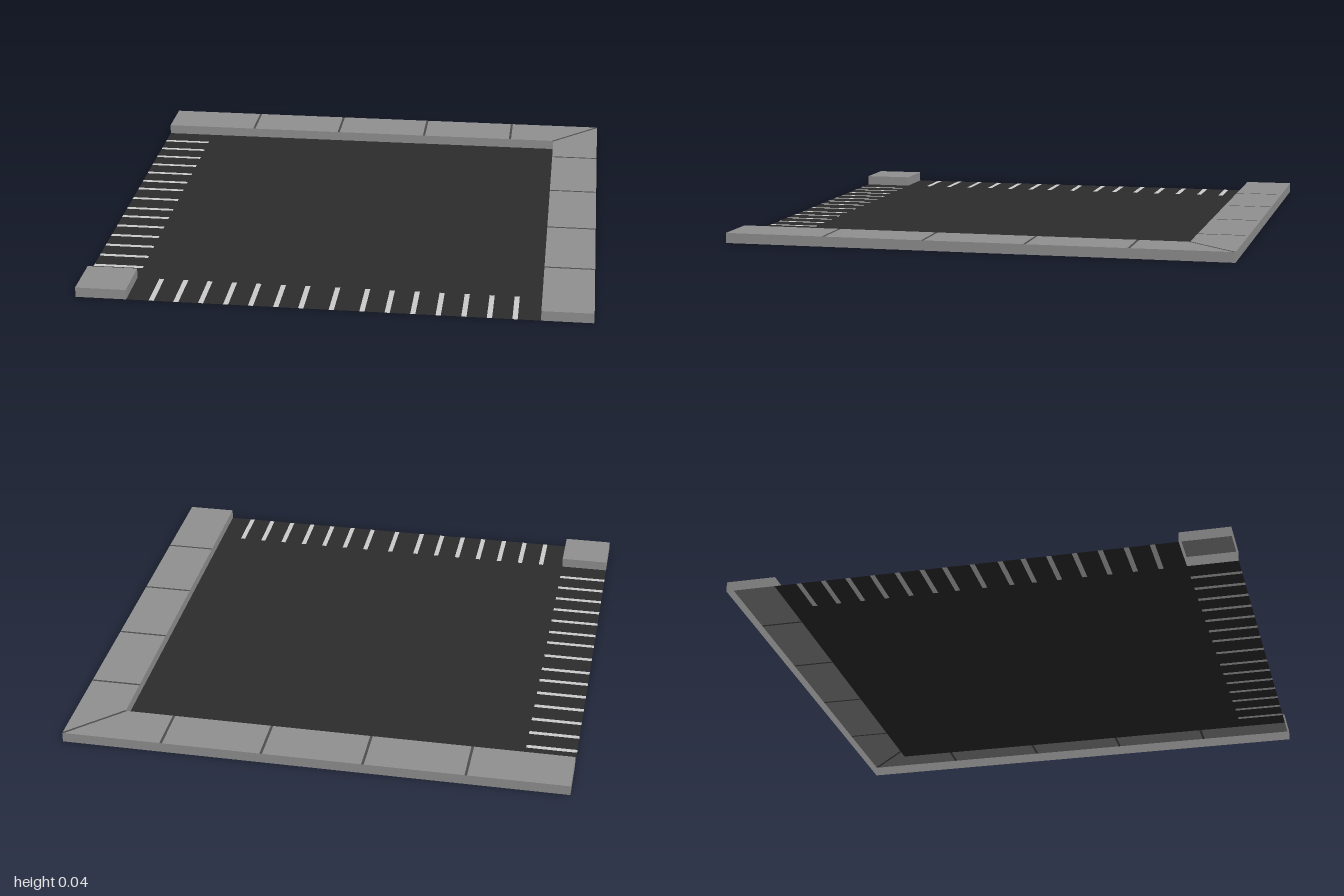
import * as THREE from 'three';
import { mergeGeometries } from 'three/addons/utils/BufferGeometryUtils.js';

const H = 0.04; // kerb height
const INNER = 0.8; // kerb line
const GAP = 0.005; // half width of a paving joint

const material = (color) => new THREE.MeshStandardMaterial({ color, side: THREE.DoubleSide });

// Horizontal polygon from [x, z] corners at height y, facing up
function flat(points, y) {
  const shape = new THREE.Shape(points.map(([x, z]) => new THREE.Vector2(x, -z)));
  return new THREE.ShapeGeometry(shape).rotateX(-Math.PI / 2).translate(0, y, 0);
}

const rect = (x0, z0, x1, z1, y) => flat([[x0, z0], [x0, z1], [x1, z1], [x1, z0]], y);

// Upright faces along a closed outline of [x, z] corners
function walls(outline) {
  return outline.map(([ax, az], i) => {
    const [bx, bz] = outline[(i + 1) % outline.length];
    return new THREE.PlaneGeometry(Math.hypot(bx - ax, bz - az), H)
      .rotateY(Math.atan2(az - bz, bx - ax))
      .translate((ax + bx) / 2, H / 2, (az + bz) / 2);
  });
}

export function createModel() {
  const group = new THREE.Group();
  const add = (name, parts, mat) => {
    const mesh = new THREE.Mesh(mergeGeometries(parts), mat);
    mesh.name = name;
    group.add(mesh);
  };
  const asphaltMat = material(0x2c2c2c);
  const paintMat = material(0xcccccc);
  const pavingMat = material(0x909090);
  const jointMat = material(0x4c4c4c);

  // Road surface, with the crossings let into its two open edges
  add('roadSurface', [rect(-INNER, -INNER, INNER, INNER, 0)], asphaltMat);

  function crossing(name, offsets, place) {
    const asphalt = [], paint = [];
    const centres = [...offsets.map((v) => -v).reverse(), 0, ...offsets];
    let start = -INNER;
    for (const c of centres) {
      asphalt.push(place(start, c - 0.01));
      paint.push(place(c - 0.01, c + 0.01));
      start = c + 0.01;
    }
    asphalt.push(place(start, INNER));
    add(name + 'Asphalt', asphalt, asphaltMat);
    add(name + 'Stripes', paint, paintMat);
  }
  crossing('rightCrossing', [0.11, 0.2, 0.3, 0.4, 0.5, 0.6, 0.7],
    (a, b) => rect(-1, a, -INNER, b, 0));
  crossing('frontCrossing', [0.118, 0.215, 0.313, 0.41, 0.508, 0.605, 0.702],
    (a, b) => rect(a, INNER, b, 1, 0));

  // Paving slabs and joints of the back run, mirrored over the mitre for the side run
  const slabs = [], joints = [];
  const m = 0.007;
  const mirror = ([x, z]) => [-z, -x];
  const addBoth = (list, points) => list.push(flat(points, H), flat(points.map(mirror), H));
  let x = -1;
  for (const j of [-0.6, -0.2, 0.2, 0.6]) {
    const a = j - GAP, b = j + GAP;
    addBoth(slabs, [[x, -1], [x, -INNER], [a, -INNER], [a, -1]]);
    addBoth(joints, [[a, -1], [a, -INNER], [b, -INNER], [b, -1]]);
    x = b;
  }
  addBoth(slabs, [[x, -1], [x, -INNER], [INNER - m, -INNER], [1 - m, -1]]);
  addBoth(joints, [[1 - m, -1], [INNER - m, -INNER], [INNER, -INNER], [1, -1]]);
  add('pavementSlabs', slabs, pavingMat);
  add('pavementJoints', joints, jointMat);

  // Kerb faces around the L-shaped pavement, open underneath
  add('pavementKerb', walls([[-1, -1], [-1, -INNER], [INNER, -INNER],
    [INNER, 1], [1, 1], [1, -1]]), pavingMat);

  // Small pavement block on the corner between the crossings
  add('cornerBlock', [rect(-1, INNER, -INNER, 1, H),
    ...walls([[-1, INNER], [-1, 1], [-INNER, 1], [-INNER, INNER]])], pavingMat);

  return group;
}
